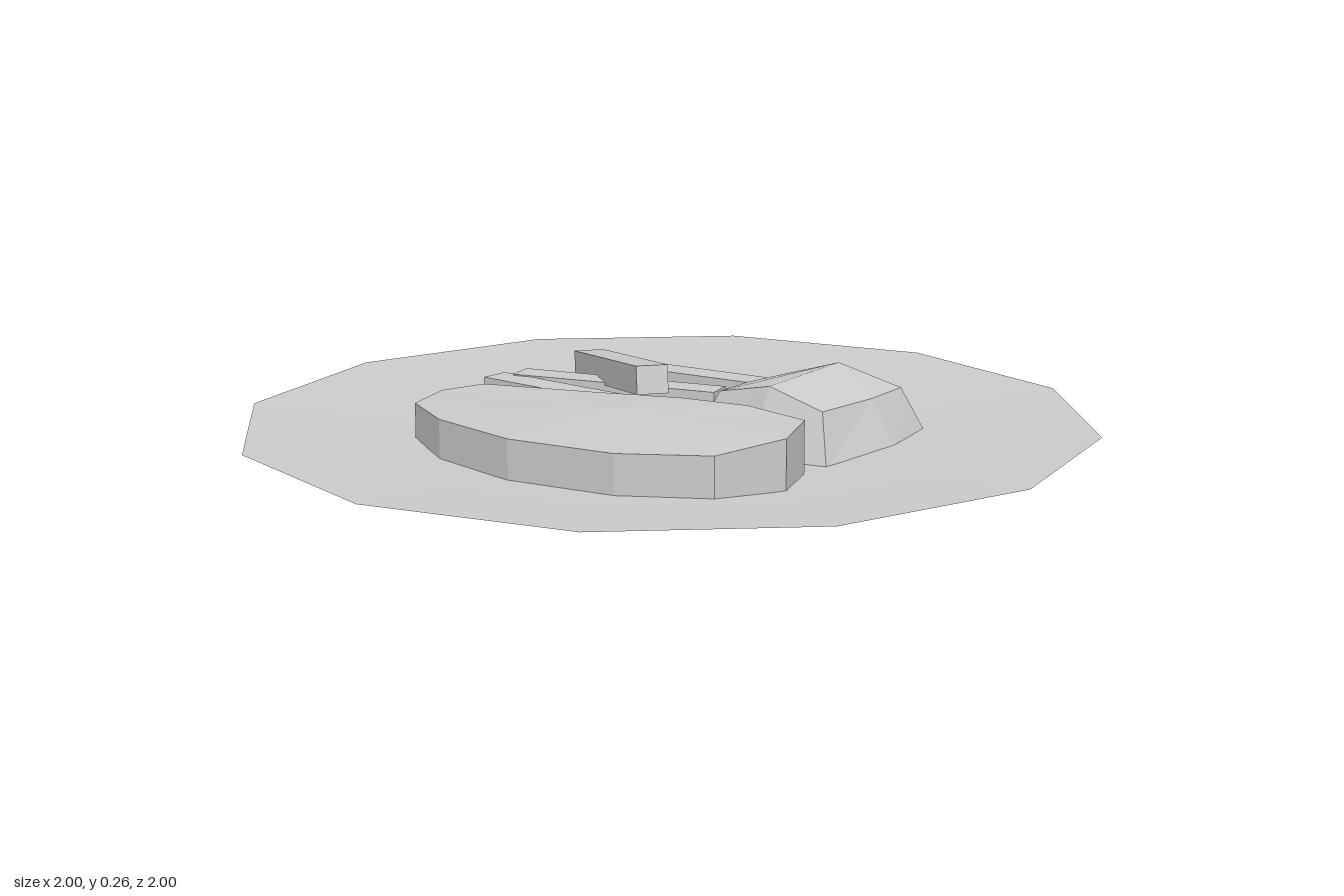
import * as THREE from 'three';

const material = new THREE.MeshStandardMaterial({ color: 0xcccccc, flatShading: true });

function addMesh(group, name, geometry) {
  const mesh = new THREE.Mesh(geometry, material);
  mesh.name = name;
  group.add(mesh);
  return mesh;
}

// Closed faceted solid: base centre, loops of [x, y, z] from bottom to top, apex
function facetedSolid(base, rings, apex) {
  const pos = [];
  const tri = (...corners) => corners.forEach((c) => pos.push(...c));
  const n = rings[0].length;
  const top = rings[rings.length - 1];
  for (let i = 0; i < n; i++) {
    const j = (i + 1) % n;
    tri(rings[0][i], rings[0][j], base);
    for (let k = 0; k + 1 < rings.length; k++) {
      const a = rings[k], b = rings[k + 1];
      tri(a[i], b[i], a[j]);
      tri(b[i], b[j], a[j]);
    }
    tri(top[i], apex, top[j]);
  }
  const geometry = new THREE.BufferGeometry();
  geometry.setAttribute('position', new THREE.Float32BufferAttribute(pos, 3));
  geometry.computeVertexNormals();
  return geometry;
}

export function createModel() {
  const model = new THREE.Group();
  model.name = 'plateOfFood';

  // Twelve-sided plate: underside out to the thin rim, then the shallow dish
  const profile = [
    [0, 0], [0.35, 0], [0.74, 0.085], [1, 0.114],
    [0.74, 0.099], [0.37, 0.086], [0, 0.082],
  ].map(([r, y]) => new THREE.Vector2(r, y));
  addMesh(model, 'plate', new THREE.LatheGeometry(profile, 12));

  // Flat slab of meat with a gently uneven top
  const slabTop = [
    [-0.28, 0.168, -0.455], [-0.19, 0.175, -0.405], [-0.12, 0.185, -0.11],
    [-0.09, 0.2, 0.12], [-0.09, 0.21, 0.31], [-0.13, 0.212, 0.5],
    [-0.285, 0.21, 0.57], [-0.44, 0.19, 0.5], [-0.55, 0.187, 0.315],
    [-0.595, 0.186, 0.05], [-0.55, 0.184, -0.2], [-0.44, 0.175, -0.385],
  ];
  const slabBase = slabTop.map(([x, , z]) => [x, 0.083, z]);
  addMesh(model, 'meatSlab',
    facetedSolid([-0.28, 0.083, 0.05], [slabBase, slabTop], [-0.25, 0.198, 0.06]));

  // Mound with sloping sides
  const moundBase = [
    [-0.03, 0.1], [0.18, 0.03], [0.395, 0.05], [0.485, 0.235],
    [0.385, 0.46], [0.21, 0.5], [-0.05, 0.5], [-0.07, 0.3],
  ].map(([x, z]) => [x, 0.084, z]);
  const moundTop = [
    [0.02, 0.2, 0.14], [0.18, 0.19, 0.1], [0.345, 0.185, 0.1], [0.425, 0.188, 0.22],
    [0.355, 0.19, 0.41], [0.2, 0.195, 0.44], [0, 0.2, 0.45], [0, 0.237, 0.3],
  ];
  addMesh(model, 'mound',
    facetedSolid([0.2, 0.084, 0.28], [moundBase, moundTop], [0.26, 0.25, 0.3]));

  // Cut sticks: three lying in the dish, one leaning across them
  const sticks = [
    [[-0.033, 0.122, -0.52], [-0.033, 0.122, 0]],
    [[0.025, 0.125, -0.49], [0.18, 0.125, 0.01]],
    [[0.245, 0.128, -0.45], [0.315, 0.128, 0.07]],
    [[0.285, 0.135, -0.495], [-0.095, 0.231, 0.035]],
  ];
  sticks.forEach(([from, to], i) => {
    const a = new THREE.Vector3(...from), b = new THREE.Vector3(...to);
    const stick = addMesh(model, 'stick' + (i + 1),
      new THREE.BoxGeometry(0.074, 0.066, a.distanceTo(b)));
    stick.position.copy(a).add(b).multiplyScalar(0.5);
    stick.lookAt(b);
  });

  return model;
}
